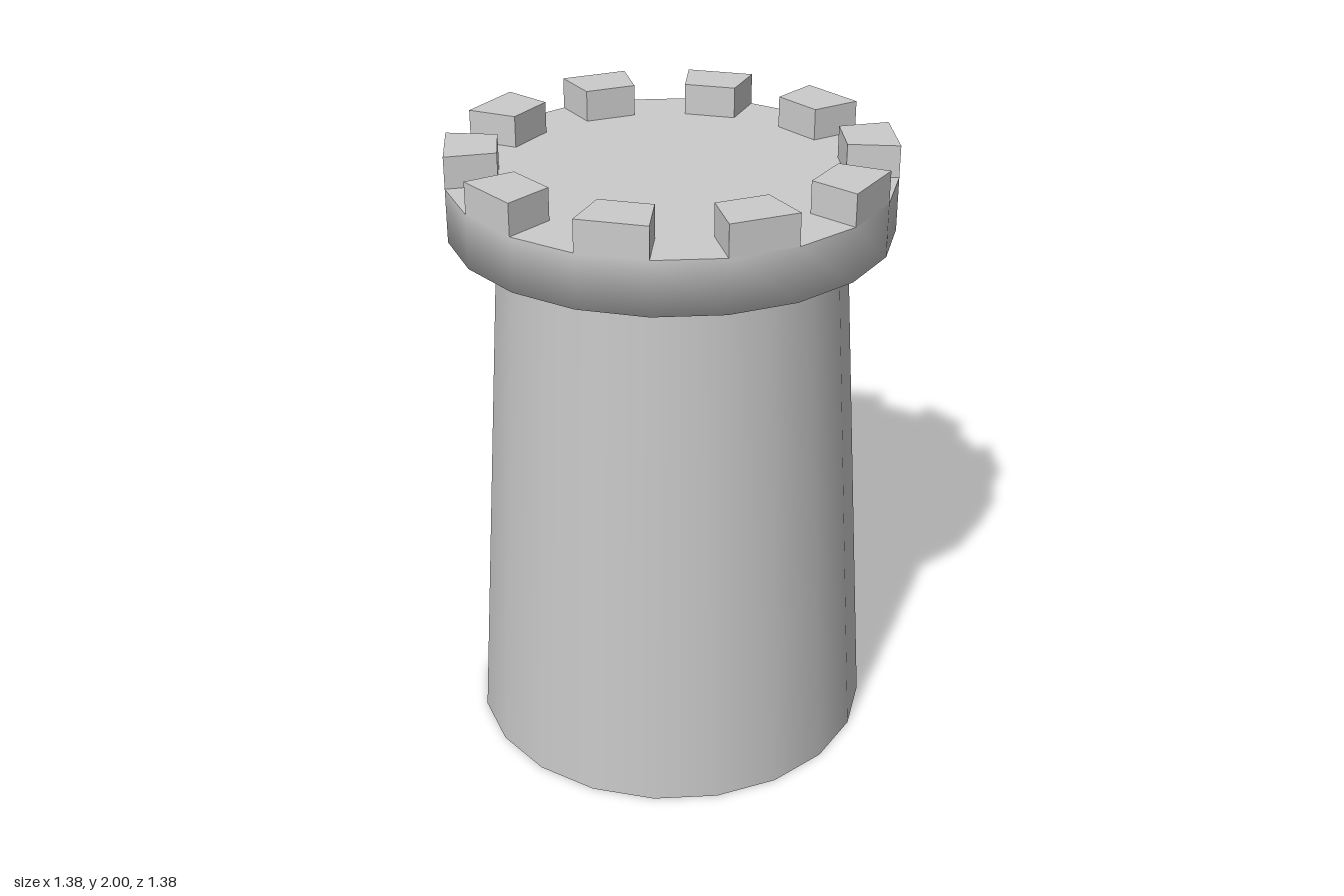
import * as THREE from 'three';

const SIDES = 20;
const STEP = (Math.PI * 2) / SIDES;
const DOOR = THREE.MathUtils.degToRad(278); // direction of the doorway around the tower
const HOLE = THREE.MathUtils.degToRad(36); // half width of the cut in the wall
const CROWN = THREE.MathUtils.degToRad(12); // half width of the flat top of the cut
const BASE_R = 0.655, NECK_R = 0.545, NECK_Y = 1.71, ROOM_R = 0.51;
const RIM_R = 0.69, RIM_Y = 1.9, TOP_Y = 2;

const material = new THREE.MeshStandardMaterial({ color: 0xcccccc, side: THREE.DoubleSide });
const flatMaterial = new THREE.MeshStandardMaterial({ color: 0xcccccc, side: THREE.DoubleSide, flatShading: true });

function part(name, geometry, mat = material) {
  const mesh = new THREE.Mesh(geometry, mat);
  mesh.name = name;
  return mesh;
}

function buffer(positions, normals) {
  const g = new THREE.BufferGeometry();
  g.setAttribute('position', new THREE.Float32BufferAttribute(positions, 3));
  if (normals) g.setAttribute('normal', new THREE.Float32BufferAttribute(normals, 3));
  else g.computeVertexNormals();
  return g;
}

// Round wall of flat panels with smooth normals, cut open at the doorway
function wall(r0, r1, height, springY, crownY, inward) {
  const angles = [-HOLE, -CROWN, CROWN, HOLE];
  for (let k = 0; k < SIDES; k++) {
    const a = k * STEP - DOOR;
    angles.push(Math.atan2(Math.sin(a), Math.cos(a)));
  }
  angles.sort((a, b) => a - b);
  angles.push(angles[0] + Math.PI * 2);

  const holeTop = (a) => THREE.MathUtils.mapLinear(
    THREE.MathUtils.clamp(Math.abs(a), CROWN, HOLE), CROWN, HOLE, crownY, springY);
  const pos = [], nor = [];
  const sign = inward ? -1 : 1;
  const vertex = (a, y) => {
    const w = a + DOOR;
    // keep points between corners on the straight panel
    const off = THREE.MathUtils.euclideanModulo(w + 1e-7, STEP) - STEP / 2;
    const r = (r0 + (r1 - r0) * y / height) * Math.cos(STEP / 2) / Math.cos(off);
    pos.push(r * Math.cos(w), y, r * Math.sin(w));
    nor.push(sign * Math.cos(w), 0, sign * Math.sin(w));
  };
  for (let i = 0; i < angles.length - 1; i++) {
    const a = angles[i], b = angles[i + 1];
    const open = Math.abs((a + b) / 2) < HOLE;
    const c = [[a, open ? holeTop(a) : 0], [a, height], [b, height], [b, open ? holeTop(b) : 0]];
    const order = inward ? [0, 2, 1, 0, 3, 2] : [0, 1, 2, 0, 2, 3];
    order.forEach((k) => vertex(...c[k]));
  }
  return buffer(pos, nor);
}

// Arched door frame that follows the tower's curve and lines the opening
function doorFrame() {
  // [inner half width, inner height, outer half width, outer height]
  const half = [
    [0.296, 0, 0.463, 0],
    [0.296, 0.65, 0.463, 0.68],
    [0.2, 0.715, 0.3, 0.81],
    [0.1, 0.78, 0.13, 0.93],
  ];
  const mirrored = half.map(([a, b, c, d]) => [-a, b, -c, d]).reverse();
  const surface = (t, y) =>
    Math.sqrt((BASE_R + (NECK_R - BASE_R) * y / NECK_Y) ** 2 - t * t);
  const place = (t, y, d) => [
    d * Math.cos(DOOR) - t * Math.sin(DOOR), y, d * Math.sin(DOOR) + t * Math.cos(DOOR)];
  const rings = [...half, ...mirrored].map(([ti, yi, to, yo]) => [
    place(to, yo, surface(to, yo) + 0.073),
    place(ti, yi, surface(ti, yi) + 0.073),
    place(ti, yi, Math.sqrt(ROOM_R ** 2 - ti * ti) - 0.005),
    place(to, yo, surface(to, yo) - 0.035),
  ]);
  const pos = [];
  const quad = (a, b, c, d) => [a, b, c, a, c, d].forEach((p) => pos.push(...p));
  for (let i = 0; i < rings.length - 1; i++) {
    const a = rings[i], b = rings[i + 1];
    for (let k = 0; k < 4; k++) {
      const n = (k + 1) % 4;
      quad(a[k], a[n], b[n], b[k]);
    }
  }
  const last = rings[rings.length - 1];
  quad(...[...rings[0]].reverse());
  quad(...last);
  return buffer(pos);
}

function disc(radius, y, up) {
  return new THREE.CircleGeometry(radius, SIDES)
    .rotateX(up ? -Math.PI / 2 : Math.PI / 2).translate(0, y, 0);
}

// Wedge-shaped block standing on one side of the rim
function merlon(start) {
  const p = (r, a) => new THREE.Vector2(r * Math.cos(a), -r * Math.sin(a));
  const end = start + STEP;
  const shape = new THREE.Shape([p(RIM_R, start), p(RIM_R, end), p(0.53, end), p(0.53, start)]);
  return new THREE.ExtrudeGeometry(shape, { depth: TOP_Y - RIM_Y, bevelEnabled: false })
    .rotateX(-Math.PI / 2).translate(0, RIM_Y, 0);
}

export function createModel() {
  const tower = new THREE.Group();
  tower.name = 'tower';

  // Hollow body
  tower.add(part('outerWall', wall(BASE_R, NECK_R, NECK_Y, 0.7, 0.86, false)));
  tower.add(part('innerWall', wall(ROOM_R, ROOM_R, 1.7, 0.65, 0.78, true)));
  tower.add(part('floor', disc(BASE_R, 0, false)));
  tower.add(part('ceiling', disc(ROOM_R, 1.7, false)));
  tower.add(part('doorFrame', doorFrame(), flatMaterial));

  // Flared rim and roof platform
  const profile = [[NECK_R, NECK_Y], [RIM_R, 1.73], [RIM_R, RIM_Y]].map(([r, y]) => new THREE.Vector2(r, y));
  tower.add(part('rim', new THREE.LatheGeometry(profile, SIDES)));
  tower.add(part('platform', disc(RIM_R, RIM_Y, true)));

  // Battlements on every other side
  const battlements = new THREE.Group();
  battlements.name = 'battlements';
  for (let k = 0; k < SIDES; k += 2) battlements.add(part('merlon', merlon(k * STEP), flatMaterial));
  tower.add(battlements);

  return tower;
}
